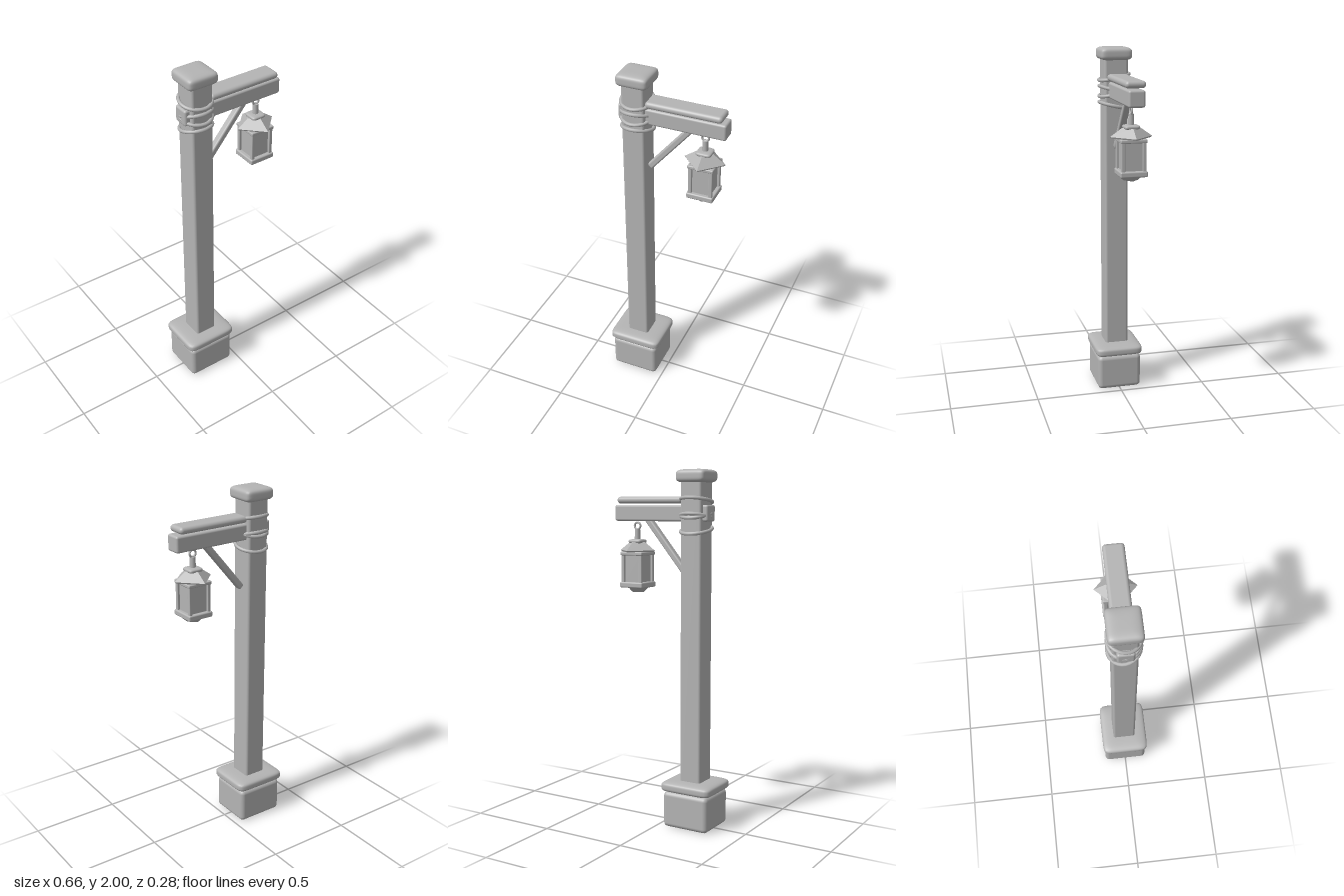
import * as THREE from 'three';
import { mergeVertices } from 'three/addons/utils/BufferGeometryUtils.js';
import { RoundedBoxGeometry } from 'three/addons/geometries/RoundedBoxGeometry.js';

export function createModel() {
  const model = new THREE.Group();
  model.name = 'lampPost';
  const stone = new THREE.MeshStandardMaterial({ color: 0xb4b4b4 });
  stone.name = 'plain grey';

  const add = (name, geometry, x, y, z = 0, parent = model) => {
    const mesh = new THREE.Mesh(geometry, stone);
    mesh.name = name;
    mesh.position.set(x, y, z);
    parent.add(mesh);
    return mesh;
  };
  const rounded = (w, h, d, r) => new RoundedBoxGeometry(w, h, d, 4, r);

  // Soft cushion: a cube pulled onto a superellipsoid, squarish in plan
  const cushion = (w, h, d, n = 9, m = 4) => {
    let g = new THREE.BoxGeometry(2, 2, 2, 14, 14, 14);
    g.deleteAttribute('normal');
    g.deleteAttribute('uv');
    g = mergeVertices(g);
    const p = g.attributes.position;
    for (let i = 0; i < p.count; i++) {
      const [x, y, z] = [p.getX(i), p.getY(i), p.getZ(i)];
      const plan = Math.pow(Math.abs(x) ** n + Math.abs(z) ** n, 1 / n);
      const s = Math.pow(plan ** m + Math.abs(y) ** m, 1 / m);
      p.setXYZ(i, x / s * w / 2, y / s * h / 2, z / s * d / 2);
    }
    g.computeVertexNormals();
    return g;
  };

  // Four-sided frustum with its corners on the x and z axes
  const diamond = (top, bottom, h) =>
    new THREE.CylinderGeometry(top, bottom, h, 4).toNonIndexed();
  const flat = (g) => { g.computeVertexNormals(); return g; };

  // Base and post
  const px = -0.177;
  add('baseBlock', rounded(0.28, 0.205, 0.255, 0.025), px, 0.1075);
  add('baseSlab', cushion(0.314, 0.066, 0.277), px, 0.238);
  add('post', rounded(0.128, 1.76, 0.134, 0.014), px, 1.08);
  add('postCap', cushion(0.178, 0.074, 0.176), px, 1.963);

  // Arm, its cover board and the diagonal brace
  add('arm', rounded(0.6, 0.09, 0.09, 0.012), 0.03, 1.765);
  add('armBoard', rounded(0.425, 0.038, 0.112, 0.0185), 0.0975, 1.836);
  const from = new THREE.Vector2(-0.1, 1.455), to = new THREE.Vector2(0.13, 1.73);
  const dir = to.clone().sub(from);
  const brace = add('brace', rounded(dir.length() + 0.02, 0.036, 0.04, 0.01),
    (from.x + to.x) / 2, (from.y + to.y) / 2);
  brace.rotation.z = dir.angle();

  // Rope loops, each tilted a little: height at the front and at the back
  [[1.815, 1.85], [1.785, 1.74], [1.725, 1.765], [1.695, 1.655]].forEach(([front, back], i) => {
    const loop = add('ropeLoop' + (i + 1), new THREE.TorusGeometry(0.086, 0.01, 8, 28),
      px, (front + back) / 2);
    loop.rotation.x = Math.PI / 2 - Math.atan2(front - back, 0.172);
  });

  // Hanging lantern
  const lantern = new THREE.Group();
  lantern.name = 'lantern';
  lantern.position.x = 0.205;
  model.add(lantern);
  const part = (name, g, x, y, z = 0) => add(name, g, x, y, z, lantern);

  part('hangingRing', new THREE.TorusGeometry(0.019, 0.006, 8, 20), 0, 1.693);
  part('stem', new THREE.CylinderGeometry(0.015, 0.017, 0.07, 12), 0, 1.64);
  part('roofKnob', cushion(0.085, 0.026, 0.085, 5, 3), 0, 1.606);
  part('roof', flat(diamond(0.05, 0.115, 0.046)), 0, 1.579);
  part('roofEdge', flat(diamond(0.115, 0.109, 0.008)), 0, 1.552);
  part('topFrame', rounded(0.145, 0.02, 0.145, 0.006), 0, 1.538);
  part('glass', new THREE.BoxGeometry(0.108, 0.17, 0.108), 0, 1.455);
  part('bottomFrame', rounded(0.15, 0.032, 0.15, 0.008), 0, 1.362);
  part('bottomPoint', flat(diamond(0.075, 0.04, 0.03)), 0, 1.335);
  for (const sx of [-1, 1]) for (const sz of [-1, 1]) {
    part('cornerBar', rounded(0.02, 0.17, 0.02, 0.004), sx * 0.058, 1.455, sz * 0.058);
  }
  return model;
}
